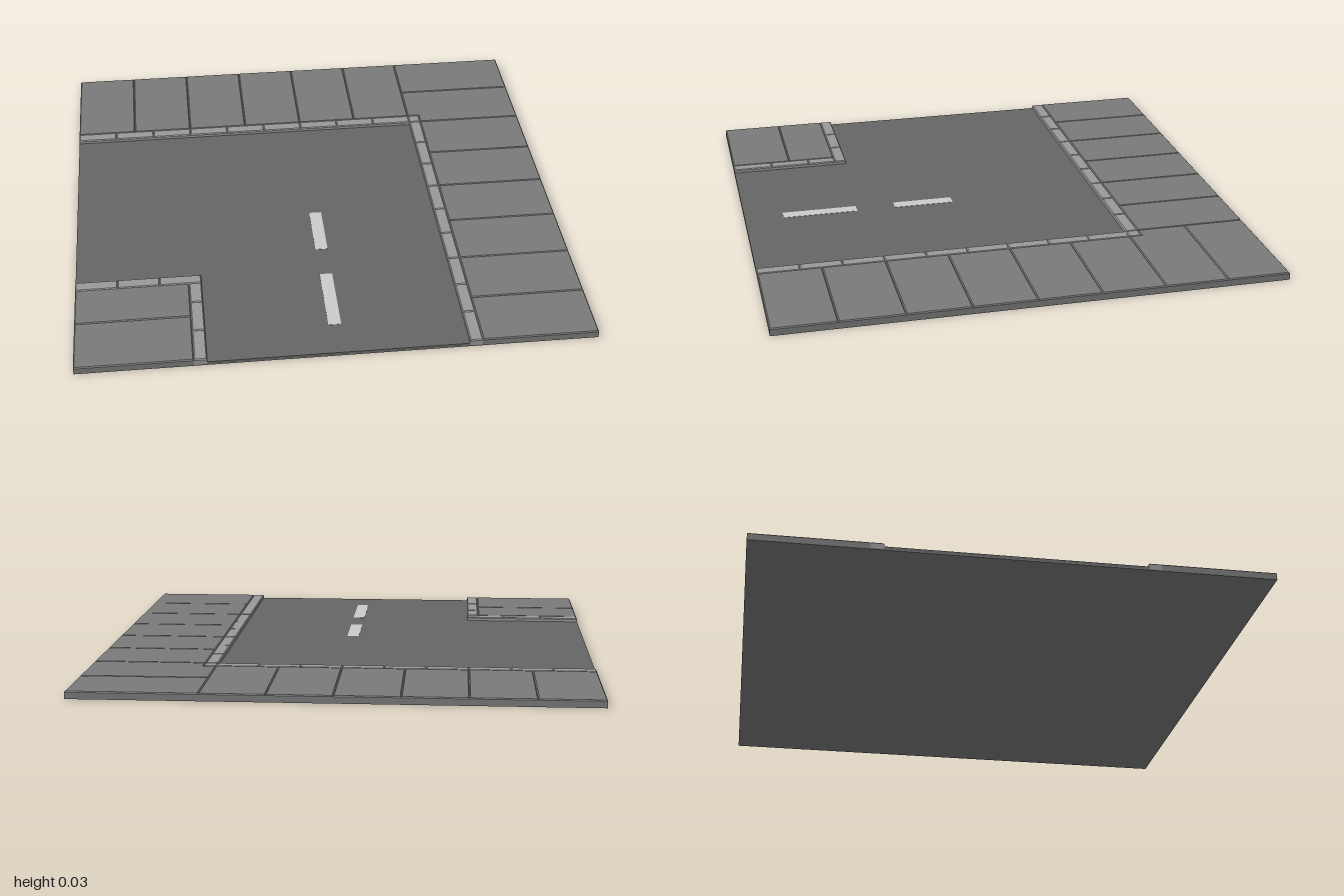
import * as THREE from 'three';

const TOP = 0.03, PLATE = 0.005, ROAD = 0.015, BEVEL = 0.004;
const mat = (color) => new THREE.MeshStandardMaterial({ color });
const asphalt = mat(0x666666), paving = mat(0x7a7a7a), stone = mat(0x999999), paint = mat(0xc4c4c4);

// Outline given as [x, z] corners
const outline = (pts) => new THREE.Shape(pts.map(([x, z]) => new THREE.Vector2(x, -z)));
const rect = (x0, x1, z0, z1) => [[x0, z1], [x1, z1], [x1, z0], [x0, z0]];

export function createModel() {
  const root = new THREE.Group();
  root.name = 'roadCorner';

  const group = (name) => {
    const g = new THREE.Group();
    g.name = name;
    root.add(g);
    return g;
  };

  // Flat stone with chamfered upper edges, so neighbours form V-shaped joints
  const tile = (parent, name, pts, material) => {
    const geo = new THREE.ExtrudeGeometry(outline(pts), {
      depth: TOP - BEVEL - PLATE, bevelThickness: BEVEL, bevelSize: BEVEL,
      bevelOffset: -BEVEL, bevelSegments: 1,
    });
    geo.rotateX(-Math.PI / 2).translate(0, PLATE, 0);
    const mesh = new THREE.Mesh(geo, material);
    mesh.name = name;
    parent.add(mesh);
  };

  const box = (parent, name, x0, x1, y0, y1, z0, z1, material) => {
    const mesh = new THREE.Mesh(new THREE.BoxGeometry(x1 - x0, y1 - y0, z1 - z0), material);
    mesh.position.set((x0 + x1) / 2, (y0 + y1) / 2, (z0 + z1) / 2);
    mesh.name = name;
    parent.add(mesh);
  };

  // Base plate
  box(root, 'basePlate', -1, 1, 0, PLATE, -1, 1, paving);

  // Bent road surface
  const roadShape = outline([[-1, -0.5], [-1, 0.5], [-0.5, 0.5], [-0.5, 1], [0.5, 1], [0.5, -0.5]]);
  const roadGeo = new THREE.ExtrudeGeometry(roadShape, { depth: ROAD - PLATE, bevelEnabled: false });
  roadGeo.rotateX(-Math.PI / 2).translate(0, PLATE, 0);
  const road = new THREE.Mesh(roadGeo, asphalt);
  road.name = 'roadSurface';
  root.add(road);

  // Painted centre dashes
  const dashes = group('laneMarkings');
  for (const [z0, z1] of [[0.12, 0.37], [0.53, 0.84]])
    box(dashes, 'laneDash', -0.025, 0.025, ROAD - 0.002, ROAD + 0.001, z0, z1, paint);

  // Pavement slabs: back row, left row with corner, and inner corner
  const slabs = group('pavement');
  for (let i = 0; i < 6; i++) {
    const x = -1 + i * 0.25;
    tile(slabs, 'backSlab', rect(x, x + 0.25, -1, -0.55), paving);
    const z = -0.5 + i * 0.25;
    tile(slabs, 'leftSlab', rect(0.55, 1, z, z + 0.25), paving);
  }
  tile(slabs, 'cornerSlab', rect(0.5, 1, -1, -0.75), paving);
  tile(slabs, 'cornerSlab',
    [[0.5, -0.75], [0.5, -0.55], [0.55, -0.55], [0.55, -0.5], [1, -0.5], [1, -0.75]], paving);
  tile(slabs, 'innerSlab', rect(-1, -0.55, 0.55, 0.75), paving);
  tile(slabs, 'innerSlab', rect(-1, -0.55, 0.75, 1), paving);

  // Kerb stones along both edges of the road
  const kerbs = group('kerbs');
  const step = 1 / 6;
  for (let i = 0; i < 9; i++) {
    const x = -1 + i * step, z = -0.5 + i * step;
    tile(kerbs, 'backKerb', rect(x, x + step, -0.55, -0.5), stone);
    tile(kerbs, 'leftKerb', rect(0.5, 0.55, z, z + step), stone);
  }
  tile(kerbs, 'cornerKerb', rect(0.5, 0.55, -0.55, -0.5), stone);
  for (let i = 0; i < 3; i++) {
    const x = -1 + i * step, z = 0.5 + i * step;
    tile(kerbs, 'innerSideKerb', rect(x, x + step, 0.5, 0.55), stone);
    tile(kerbs, 'innerFrontKerb', rect(-0.55, -0.5, i ? z : 0.55, z + step), stone);
  }
  return root;
}
